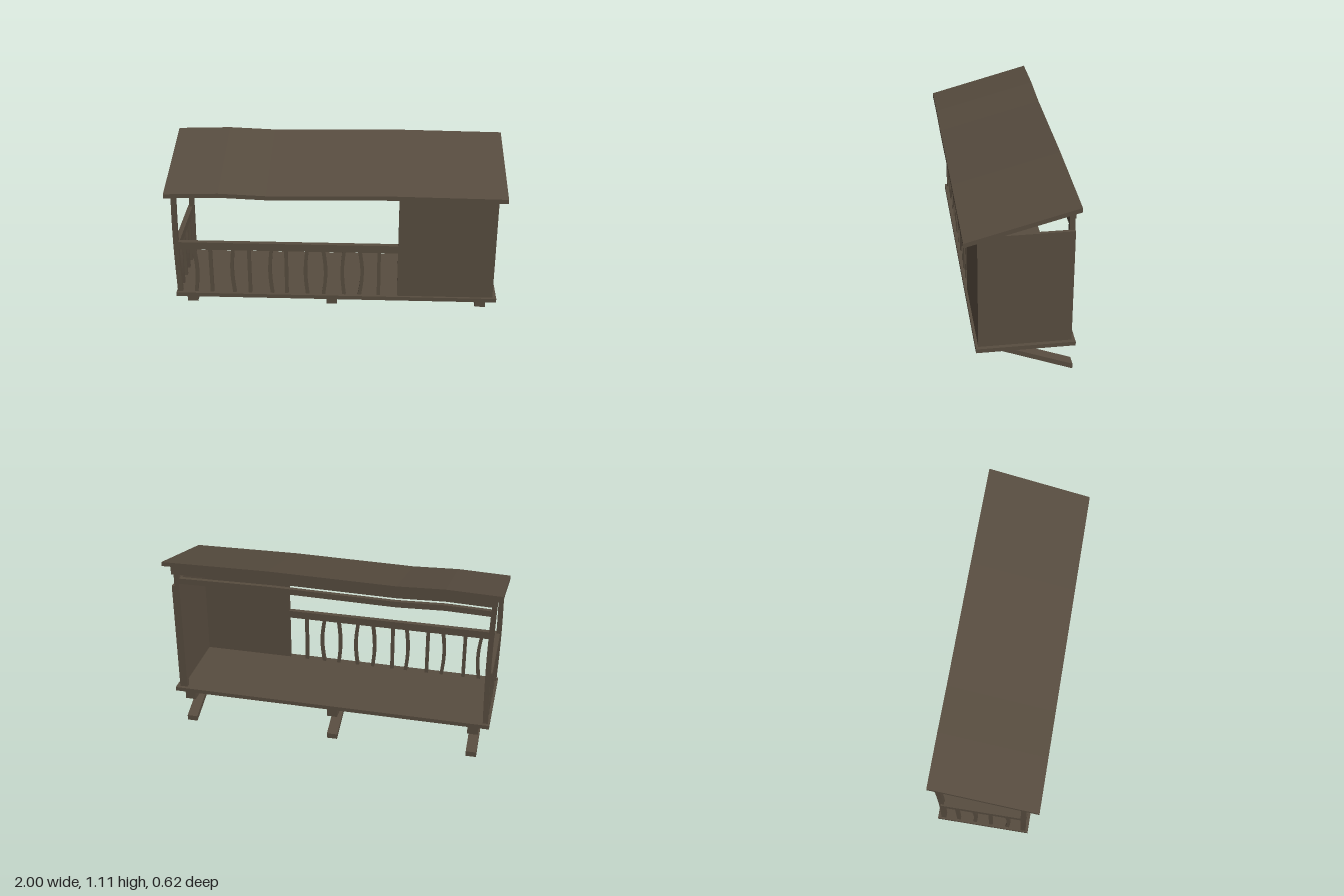
import * as THREE from 'three';

const wood = new THREE.MeshStandardMaterial({ color: 0x574c3f });
wood.name = 'weatheredWood';

// Box given by its min and max corners; an optional rule moves its vertices
function box(name, min, max, rule, segs = [1, 1, 1]) {
  const size = max.map((v, i) => v - min[i]);
  let geo = new THREE.BoxGeometry(...size, ...segs);
  geo.translate(...max.map((v, i) => (v + min[i]) / 2));
  if (rule) {
    geo = geo.toNonIndexed();
    const p = geo.attributes.position, v = new THREE.Vector3();
    for (let i = 0; i < p.count; i++) {
      rule(v.fromBufferAttribute(p, i));
      p.setXYZ(i, v.x, v.y, v.z);
    }
    geo.computeVertexNormals();
  }
  const mesh = new THREE.Mesh(geo, wood);
  mesh.name = name;
  return mesh;
}

// Upright square post, bowed sideways between its ends
function post(name, x, z, y0, y1, width, bowX = 0, bowZ = 0) {
  const h = width / 2;
  return box(name, [x - h, y0, z - h], [x + h, y1, z + h], (v) => {
    const s = Math.sin(Math.PI * (v.y - y0) / (y1 - y0));
    v.x += bowX * s;
    v.z += bowZ * s;
  }, [1, 8, 1]);
}

// Gentle sag along the length, interpolated between a few stations
const stations = [[-1, -0.005], [-0.68, 0.005], [-0.4, -0.006], [0.35, 0.006], [1, -0.002]];
function sag(x) {
  for (let i = 1; i < stations.length; i++) {
    const [x0, a] = stations[i - 1], [x1, b] = stations[i];
    if (x <= x1 + 1e-6) return THREE.MathUtils.mapLinear(x, x0, x1, a, b);
  }
  return 0;
}

export function createModel() {
  const model = new THREE.Group();
  model.name = 'balcony';
  const add = (...parts) => model.add(...parts);

  // Floor, joists and slanted braces
  add(box('floor', [-0.98, 0.21, -0.31], [0.98, 0.235, 0.25]));
  for (const x of [-0.885, -0.025, 0.885]) {
    add(box('joist', [x - 0.032, 0.163, -0.31], [x + 0.032, 0.211, 0.225]));
    const side = new THREE.Shape([
      [-0.31, 0], [-0.31, 0.033], [0.023, 0.164], [0.1, 0.164],
    ].map(([z, y]) => new THREE.Vector2(-z, y)));
    const brace = new THREE.Mesh(
      new THREE.ExtrudeGeometry(side, { depth: 0.064, bevelEnabled: false }), wood);
    brace.name = 'brace';
    brace.rotation.y = Math.PI / 2;
    brace.position.x = x - 0.032;
    add(brace);
  }

  // Solid walls at the left end
  add(box('frontWall', [0.375, 0.23, 0.215], [0.957, 0.937, 0.235]));
  add(box('sideWall', [0.937, 0.23, -0.29], [0.957, 0.937, 0.234]));

  // Corner posts
  add(post('backLeftPost', 0.925, -0.274, 0.23, 1.03, 0.03));
  add(post('backRightPost', -0.955, -0.274, 0.23, 1.03, 0.03, 0.008, 0.004));
  add(post('frontRightPost', -0.957, 0.22, 0.23, 0.94, 0.03, -0.007));

  // Beams under the roof
  const bend = (v) => { v.y += sag(v.x); };
  add(box('upperBackBeam', [-0.97, 1.015, -0.29], [0.955, 1.068, -0.255], bend, [40, 1, 1]));
  add(box('lowerBackBeam', [-0.955, 0.955, -0.287], [0.937, 0.99, -0.262], bend, [40, 1, 1]));
  add(box('frontBeam', [-0.97, 0.908, 0.206], [0.94, 0.936, 0.232], bend, [40, 1, 1]));

  // Handrails
  add(box('frontRail', [-0.955, 0.53, 0.208], [0.376, 0.578, 0.238]));
  add(box('sideRail', [-0.972, 0.53, -0.275], [-0.942, 0.578, 0.22]));

  // Balusters, some of them bowed
  const frontBalusters = [
    [-0.86, 0.014], [-0.76, 0], [-0.62, -0.012], [-0.525, 0], [-0.388, -0.012], [-0.3, 0],
    [-0.172, -0.012], [-0.075, 0.014], [0.052, -0.012], [0.145, 0.016], [0.262, 0],
  ];
  for (const [x, bow] of frontBalusters)
    add(post('frontBaluster', x, 0.22, 0.23, 0.535, 0.021, bow));
  [-0.18, -0.08, 0.02, 0.12].forEach((z, i) =>
    add(post('sideBaluster', -0.957, z, 0.23, 0.535, 0.021, 0, i % 2 ? 0.01 : 0)));

  // Sloping roof with a slight wave along its length
  add(box('roof', [-1, 0.992, -0.312], [1, 1.018, 0.312], (v) => {
    v.y += sag(v.x) - 0.268 * v.z;
  }, [100, 1, 1]));

  return model;
}
